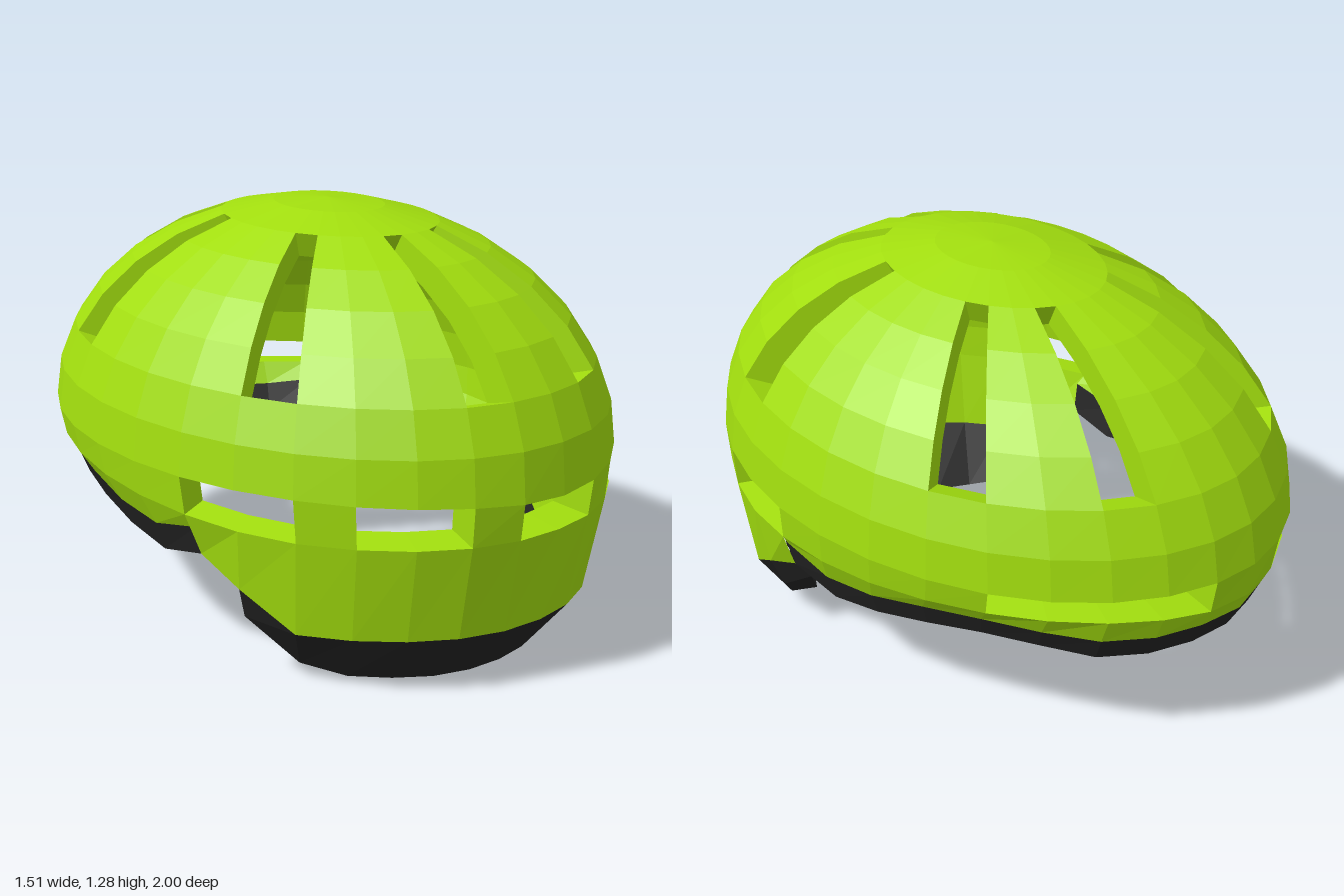
import * as THREE from 'three';

const HALF = 16;                 // columns per half, front (0) to back (16)
const STEP = Math.PI / HALF;     // 11.25 degrees, for columns and dome rows
const DOME = 8;                  // dome rows; below: vent row, skirt row, trim row
const VENT = DOME, SKIRT = DOME + 1, TRIM = DOME + 2;

// Height (y) and radius factor (r) of the lower edges, column line by column line
const ventTop = [.58, .585, .595, .6, .603];
const ventLow = [.475, .475, .475, .475, .475, .475, .48, .49, .5, .51, .52, .525, .525, .52, .51, .495, .49];
const rimY = [.18, .18, .18, .18, .18, .18, .29, .45, .41, .43, .465, .475, .46, .435, .43, .43, .43];
const rimR = [.93, .93, .93, .93, .935, .94, .95, .95, .935, .94, .95, .955, .96, .965, .965, .96, .96];
const trimY = [0, 0, 0, .005, .015, .045, .19, .36, .32, .35, .385, .405, .39, .355, .35, .35, .35];
const trimR = [.78, .78, .78, .785, .805, .82, .9, .92, .895, .9, .91, .92, .925, .93, .93, .925, .92];

const columnOf = c => (c >= 0 ? c : -1 - c);   // mirrored column number

// Solid cells; everything else is a vent or the gap in the trim
function solid(c, row) {
  c = columnOf(((c + HALF) % (2 * HALF) + 2 * HALF) % (2 * HALF) - HALF);
  if (row > TRIM) return false;
  if (row >= 2 && row <= 5) return ![1, 5, 10, 13].includes(c);                  // upper vents
  if (row === VENT) return ![0, 2, 3, 5, 6, 11, 12, 13, 14].includes(c);         // lower vents
  if (row === TRIM) return c !== 6;
  return true;
}

// Point on the outer or inner surface at column line k, row line i, for column c
function point(k, i, c, inner) {
  const m = Math.abs(k), t = k * STEP, side = Math.sin(m * STEP);
  if (i === TRIM && m === 7 && columnOf(c) === 6) i = TRIM + 1;   // green slope in the trim gap
  let r, y, shift;
  if (i < DOME) {
    r = Math.sin(i * STEP);
    y = .6 + .685 * Math.cos(i * STEP);
    shift = .03 * Math.cos(i * STEP) + .01 * side * r;
  } else if (i === VENT) {
    r = 1; y = ventTop[m] ?? .605; shift = .015 * side;
  } else if (i === SKIRT) {
    r = .985; y = ventLow[m]; shift = .025 * side;
  } else {
    r = (i === TRIM ? rimR : trimR)[m];
    y = (i === TRIM ? rimY : trimY)[m];
    shift = m < 7 ? .012 * side : .05 * side;
  }
  const p = new THREE.Vector3(.755 * r * Math.sin(t), y, r * Math.cos(t) + shift);
  if (inner) {
    p.x *= .88;
    p.z *= .88;
    p.y = i > TRIM ? y + .01 : .6 + (y - .6) * .88;
  }
  return p;
}

// Thick faceted shell made of the solid cells of the given rows
function shell(name, color, firstRow, lastRow) {
  const pos = [];
  const tri = (...pts) => pts.forEach(p => pos.push(p.x, p.y, p.z));
  const quad = (a, b, c, d) => { tri(a, b, c); tri(a, c, d); };
  for (let row = firstRow; row <= lastRow; row++) {
    for (let c = -HALF; c < HALF; c++) {
      if (!solid(c, row)) continue;
      const corners = [[c, row + 1], [c + 1, row + 1], [c + 1, row], [c, row]];
      const out = corners.map(([k, i]) => point(k, i, c, false));
      const inn = corners.map(([k, i]) => point(k, i, c, true));
      if (row === 0) {
        tri(out[0], out[1], out[2]);
        tri(inn[2], inn[1], inn[0]);
      } else {
        quad(...out);
        quad(inn[3], inn[2], inn[1], inn[0]);
      }
      // Walls through the thickness beside open cells
      const next = [[c, row + 1], [c + 1, row], [c, row - 1], [c - 1, row]];
      next.forEach(([nc, nr], e) => {
        const f = (e + 1) % 4;
        if (nr >= 0 && !solid(nc, nr)) quad(out[f], out[e], inn[e], inn[f]);
      });
    }
  }
  const geo = new THREE.BufferGeometry();
  geo.setAttribute('position', new THREE.Float32BufferAttribute(pos, 3));
  geo.computeVertexNormals();
  const mesh = new THREE.Mesh(geo, new THREE.MeshStandardMaterial({ color, flatShading: true }));
  mesh.name = name;
  return mesh;
}

export function createModel() {
  const group = new THREE.Group();
  group.name = 'helmet';
  group.add(shell('ventedShell', 0xa2de0e, 0, SKIRT));
  group.add(shell('rimTrim', 0x232323, TRIM, TRIM));
  return group;
}
